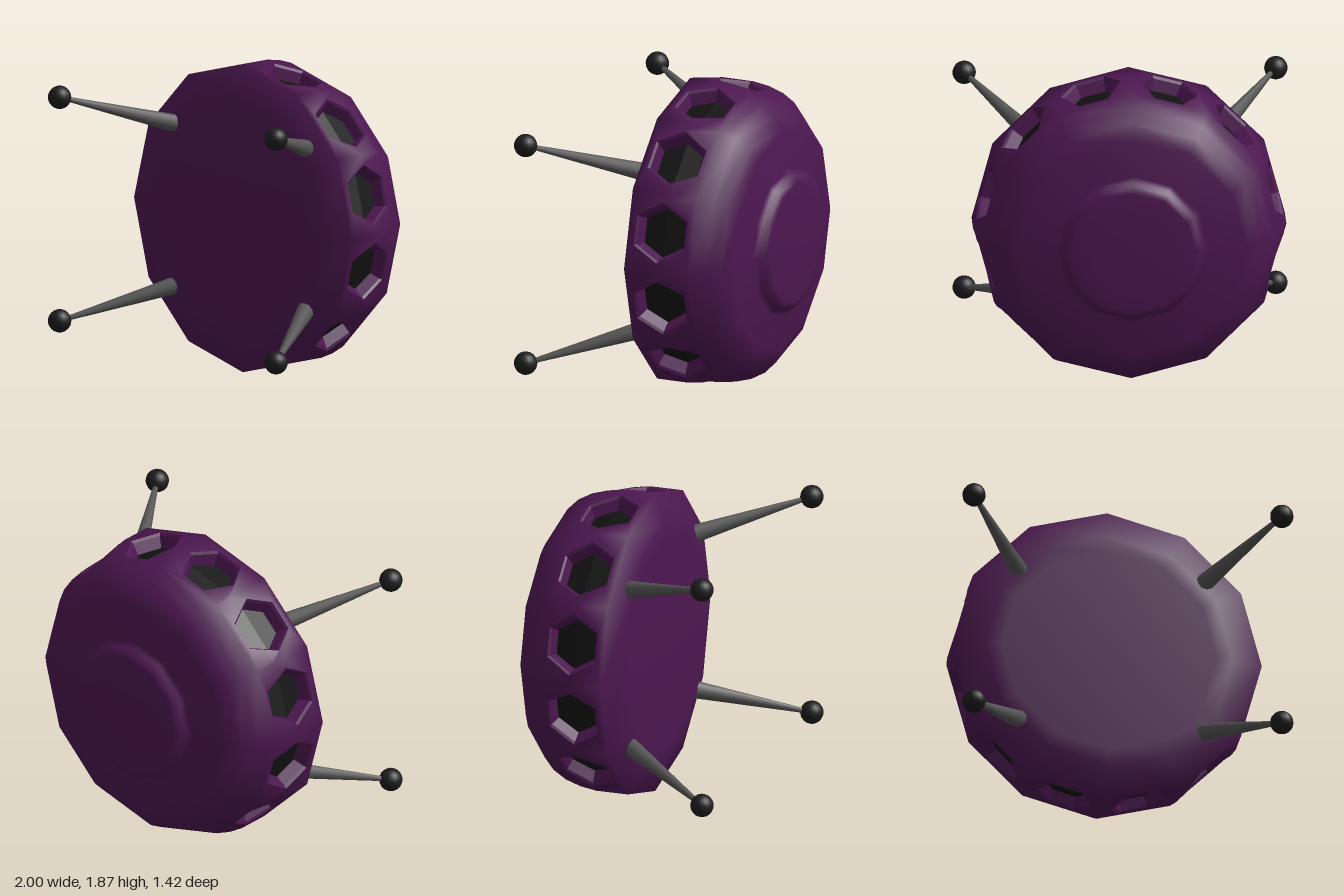
import * as THREE from 'three';
import { mergeGeometries, mergeVertices } from 'three/addons/utils/BufferGeometryUtils.js';

const SIDES = 12, STEP = Math.PI * 2 / SIDES, R = 0.935;
const BAND = [[0.89, -0.4], [0.92, -0.3], [R, -0.2], [R, 0]]; // [radius, z] of the window band
const WINDOW_Z = -0.205;

const purple = new THREE.MeshStandardMaterial({ color: 0x4c1750 });
const black = new THREE.MeshStandardMaterial({ color: 0x121212 });
const grey = new THREE.MeshStandardMaterial({ color: 0x555555 });
const dark = new THREE.MeshStandardMaterial({ color: 0x1b1c1b });

// Radius of the band at depth z
function bandRadius(z) {
  for (let i = 0; i < BAND.length - 1; i++) {
    const [r0, z0] = BAND[i], [r1, z1] = BAND[i + 1];
    if (z <= z1) return r0 + (r1 - r0) * (z - z0) / (z1 - z0);
  }
  return R;
}

// Point on the facet facing angle a: u runs along the rim, z along the axis
function onFacet(a, u, z, inset = 0) {
  const r = bandRadius(z), d = r * Math.cos(STEP / 2) - inset, s = u * r / R;
  return new THREE.Vector3(Math.cos(a) * d - Math.sin(a) * s, Math.sin(a) * d + Math.cos(a) * s, z);
}

function hexagon(radius) {
  return Array.from({ length: 6 }, (_, i) => new THREE.Vector2(
    radius * Math.cos(i * Math.PI / 3), WINDOW_Z + radius * Math.sin(i * Math.PI / 3)));
}

// Twelve-sided turned surface around the z axis; profile runs back to front
function turned(profile) {
  return new THREE.LatheGeometry(profile.map(p => new THREE.Vector2(...p)), SIDES).rotateX(Math.PI / 2);
}

// One facet of the band with its hexagonal opening
function facet(a) {
  const w = R * Math.sin(STEP / 2);
  const edge = BAND.map(([, z]) => z);
  const shape = new THREE.Shape([
    ...edge.map(z => new THREE.Vector2(w, z)),
    ...edge.slice().reverse().map(z => new THREE.Vector2(-w, z))]);
  shape.holes.push(new THREE.Path(hexagon(0.183)));
  const geo = new THREE.ShapeGeometry(shape), pos = geo.attributes.position;
  for (let i = 0; i < pos.count; i++) {
    const p = onFacet(a, pos.getX(i), pos.getY(i));
    pos.setXYZ(i, p.x, p.y, p.z);
  }
  return geo;
}

// Bevelled walls leading from the opening in to the pane
function recess(a) {
  const rings = [[0.183, 0], [0.17, 0.015], [0.147, 0.085]].map(([r, inset]) =>
    hexagon(r).map(p => onFacet(a, p.x, p.y, inset)));
  const pts = [];
  for (let k = 0; k < rings.length - 1; k++) {
    for (let i = 0; i < 6; i++) {
      const j = (i + 1) % 6, A = rings[k], B = rings[k + 1];
      pts.push(A[i], A[j], B[j], A[i], B[j], B[i]);
    }
  }
  const geo = new THREE.BufferGeometry().setFromPoints(pts);
  geo.computeVertexNormals();
  return geo;
}

// Dark pane at the bottom of the recess
function pane(a) {
  const ring = hexagon(0.147).map(p => onFacet(a, p.x, p.y, 0.085));
  const pts = [];
  for (let i = 1; i < 5; i++) pts.push(ring[0], ring[i], ring[i + 1]);
  const geo = new THREE.BufferGeometry().setFromPoints(pts);
  geo.computeVertexNormals();
  return geo;
}

export function createModel() {
  const model = new THREE.Group();
  const add = (parent, name, geo, mat) => {
    const mesh = new THREE.Mesh(geo, mat);
    mesh.name = name;
    parent.add(mesh);
    return mesh;
  };

  const body = new THREE.Group();
  body.name = 'body';
  body.position.set(-0.02, R - 0.003, 0);
  model.add(body);

  // Hull: back dome with its raised disc, faceted band, shallow front cap
  const angles = Array.from({ length: SIDES }, (_, i) => (i + 0.5) * STEP);
  const parts = [
    turned([[0, -0.71], [0.25, -0.707], [0.375, -0.7], [0.415, -0.685], [0.43, -0.65],
      [0.46, -0.63], [0.68, -0.603], [0.77, -0.56], [0.84, -0.49], BAND[0]]),
    ...angles.map(facet),
    turned([[R, 0], [0.75, 0.06], [0.65, 0.074], [0, 0.09]]),
  ].map(g => {
    g.deleteAttribute('normal');
    g.deleteAttribute('uv');
    return g;
  });
  const hull = mergeVertices(mergeGeometries(parts), 1e-4);
  hull.computeVertexNormals();
  add(body, 'hull', hull, purple);

  // Hexagonal windows around the band
  for (const a of angles) {
    const win = new THREE.Group();
    win.name = 'window';
    add(win, 'windowRecess', recess(a), purple);
    add(win, 'windowPane', pane(a), black);
    body.add(win);
  }

  // Four splayed legs with ball feet
  for (const sx of [-1, 1]) for (const sy of [-1, 1]) {
    const leg = new THREE.Group();
    leg.name = (sy > 0 ? 'upper' : 'lower') + (sx > 0 ? 'Left' : 'Right') + 'Leg';
    const base = new THREE.Vector3(sx * 0.56, 0.947 + sy * 0.49, 0.035);
    const tip = new THREE.Vector3(sx * 0.93, 0.947 + sy * 0.678, 0.64);
    const dir = tip.clone().sub(base);
    const strut = add(leg, 'strut', new THREE.CylinderGeometry(0.012, 0.055, dir.length(), 10), grey);
    strut.position.copy(base).lerp(tip, 0.5);
    strut.quaternion.setFromUnitVectors(new THREE.Vector3(0, 1, 0), dir.normalize());
    add(leg, 'foot', new THREE.SphereGeometry(0.07, 16, 12), dark).position.copy(tip);
    model.add(leg);
  }
  return model;
}
